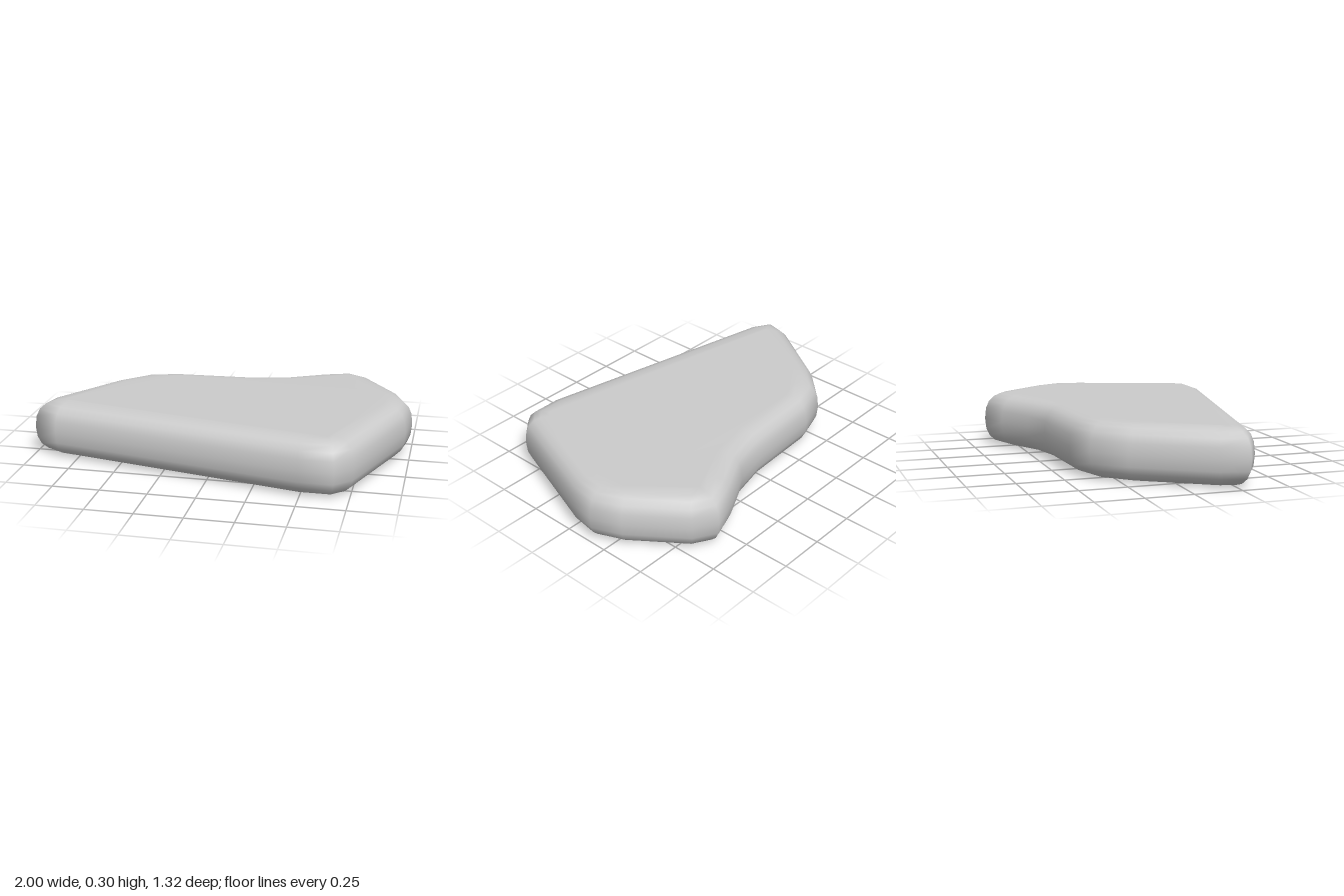
import * as THREE from 'three';

// Plan outline as (x, z), clockwise seen from above
const OUTLINE = [
  [-1, 0.295], [-0.96, 0.145], [-0.71, -0.235], [-0.56, -0.385], [-0.38, -0.44],
  [0.04, -0.46], [0.245, -0.505], [0.44, -0.605], [0.61, -0.665], [0.73, -0.595],
  [0.935, -0.315], [1, -0.16], [0.975, 0], [0.765, 0.575], [0.675, 0.658],
  [0.495, 0.658], [-0.86, 0.375],
].map(([x, z]) => new THREE.Vector2(x, z));

// Rounded edge as (inset, height), from mid-height to the top
const EDGE = [[0, 0.15], [0.006, 0.21], [0.022, 0.25], [0.05, 0.279], [0.085, 0.292], [0.13, 0.298]];
const HEIGHT = 0.3;

// Move every outline corner inward along its mitre
function insetOutline(points, inset) {
  const n = points.length;
  const inward = (a, b) => {
    const d = b.clone().sub(a).normalize();
    return new THREE.Vector2(-d.y, d.x);
  };
  return points.map((p, i) => {
    const n1 = inward(points[(i + n - 1) % n], p);
    const n2 = inward(p, points[(i + 1) % n]);
    const mitre = n1.clone().add(n2).multiplyScalar(inset / (1 + n1.dot(n2)));
    return mitre.add(p);
  });
}

function slabGeometry() {
  const lower = EDGE.slice(1).reverse().map(([inset, y]) => [inset, HEIGHT - y]);
  const rings = [...lower, ...EDGE];
  const n = OUTLINE.length;
  const positions = [];
  const index = [];

  // Side wall and rounded rims
  rings.forEach(([inset, y], r) => {
    insetOutline(OUTLINE, inset).forEach((p, i) => {
      positions.push(p.x, y, p.y);
      if (r === rings.length - 1) return;
      const a = r * n + i;
      const b = r * n + (i + 1) % n;
      index.push(b, a, a + n, b, a + n, b + n);
    });
  });

  // Flat top and bottom
  const cap = insetOutline(OUTLINE, EDGE[EDGE.length - 1][0]);
  const topStart = (rings.length - 1) * n;
  for (const [i, j, k] of THREE.ShapeUtils.triangulateShape(cap, [])) {
    const u = cap[j].clone().sub(cap[i]);
    const v = cap[k].clone().sub(cap[i]);
    const [a, b, c] = u.y * v.x - u.x * v.y > 0 ? [i, j, k] : [i, k, j];
    index.push(topStart + a, topStart + b, topStart + c);
    index.push(a, c, b);
  }

  const geometry = new THREE.BufferGeometry();
  geometry.setAttribute('position', new THREE.Float32BufferAttribute(positions, 3));
  geometry.setIndex(index);
  geometry.computeVertexNormals();
  return geometry;
}

export function createModel() {
  const group = new THREE.Group();
  group.name = 'steppingStone';
  const stone = new THREE.Mesh(slabGeometry(), new THREE.MeshStandardMaterial({ color: 0xcccccc }));
  stone.name = 'stoneSlab';
  group.add(stone);
  return group;
}
